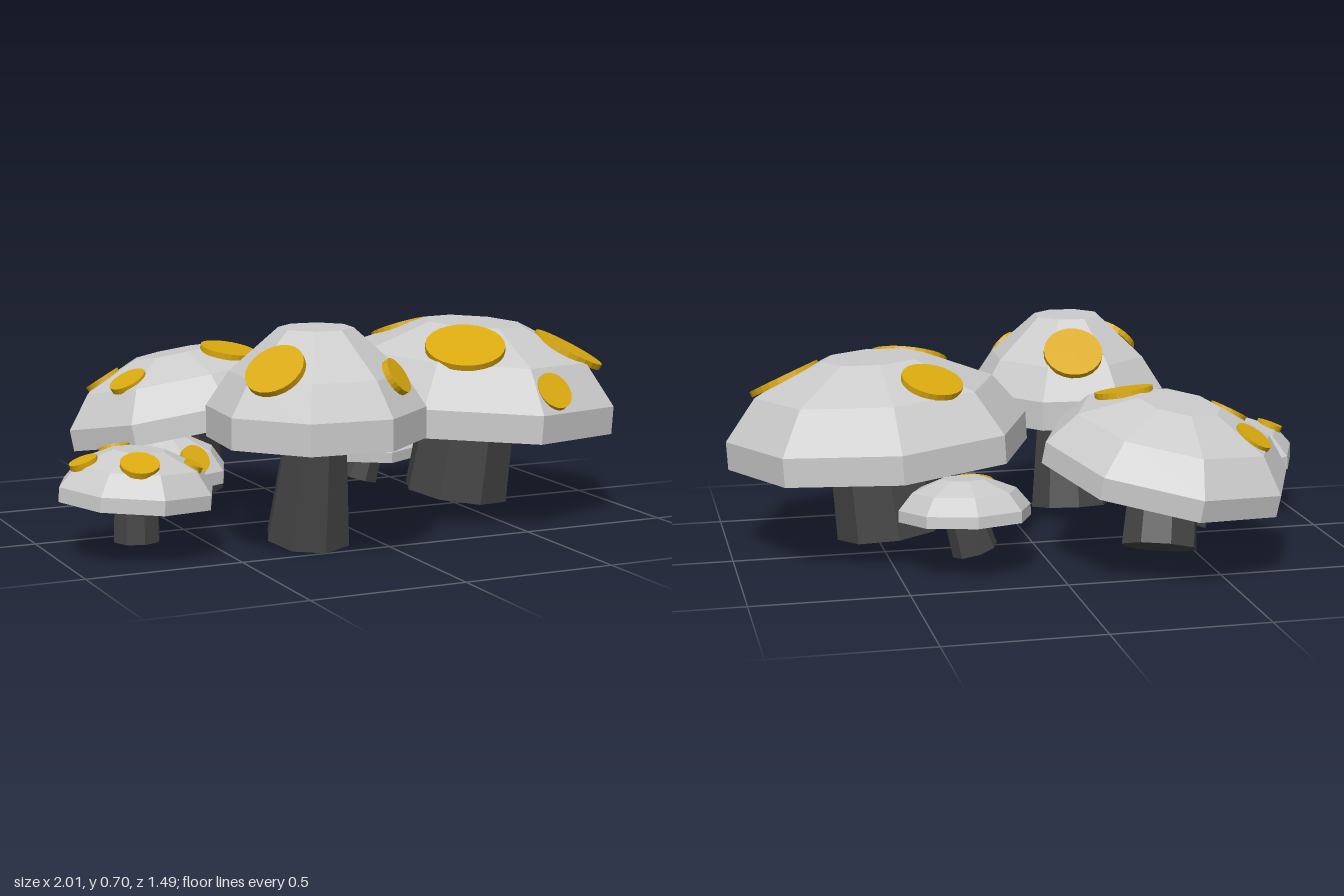
import * as THREE from 'three';

const SIDES = 8;
const UP = new THREE.Vector3(0, 1, 0);

const material = (color) => new THREE.MeshStandardMaterial({ color, flatShading: true });
const capMaterial = material(0xcccccc);
const stemMaterial = material(0x444444);
const spotMaterial = material(0xd9a80f);

// cap: centre of the underside; lean: sideways tilt of the cap axis; turn: part of a side
// foot: centre of the stem's base; stem: [top radius, base radius]; spots: [x, z, radius]
const MUSHROOMS = [
  { name: 'largeMushroom', cap: [0.5, 0.31, 0.08], radius: 0.5, height: 0.325, lean: [0.055, 0.03],
    foot: [0.47, 0.05, 0.06], stem: [0.165, 0.18],
    spots: [[0.36, 0.32, 0.13], [0.79, 0.25, 0.125], [0.365, -0.16, 0.1], [0.58, 0.51, 0.065]] },
  { name: 'tallMushroom', cap: [-0.22, 0.35, 0.425], radius: 0.342, height: 0.343, lean: [0, 0],
    turn: 0.4, shoulder: 0.6, foot: [-0.22, 0.02, 0.365], stem: [0.1, 0.138],
    spots: [[-0.19, 0.21, 0.1], [-0.41, 0.55, 0.095], [-0.035, 0.61, 0.06]] },
  { name: 'backMushroom', cap: [-0.36, 0.285, -0.32], radius: 0.41, height: 0.25, lean: [-0.16, -0.125],
    foot: [-0.325, 0.07, -0.4], stem: [0.11, 0.125],
    spots: [[-0.61, -0.47, 0.063], [-0.61, -0.21, 0.063], [-0.255, -0.21, 0.095]] },
  { name: 'sideMushroom', cap: [-0.755, 0.165, 0.265], radius: 0.25, height: 0.16, lean: [0.07, 0],
    foot: [-0.755, 0.04, 0.265], stem: [0.07, 0.075],
    spots: [[-0.78, 0.14, 0.05], [-0.92, 0.26, 0.045], [-0.79, 0.4, 0.06], [-0.6, 0.35, 0.03]] },
  { name: 'shelteredMushroom', cap: [-0.53, 0.15, -0.08], radius: 0.205, height: 0.145, lean: [0, 0],
    foot: [-0.5, 0.06, -0.1], stem: [0.07, 0.08],
    spots: [[-0.49, 0.08, 0.05]] },
  { name: 'smallMushroom', cap: [0.28, 0.165, -0.26], radius: 0.215, height: 0.13, lean: [0, 0.1],
    foot: [0.25, 0.06, -0.265], stem: [0.065, 0.075],
    spots: [[0.22, -0.12, 0.06]] },
];

// Dome outline as [radius, height]: vertical rim, shoulder, flat crown
const domeOutline = ({ radius, height, shoulder = 0.7 }) =>
  [[0, 0], [1, 0], [1, 0.285], [0.79, shoulder], [0.34, 1], [0, 1]]
    .map(([r, h]) => new THREE.Vector2(r * radius, h * height));

// Height and normal of the dome above a point in the cap's own frame
function domeAt(x, z, outline) {
  const reach = Math.min(Math.hypot(x, z) / 0.96, outline[2].x * 0.99);
  const i = reach > outline[3].x ? 2 : reach > outline[4].x ? 3 : 4;
  const slope = (outline[i + 1].y - outline[i].y) / (outline[i].x - outline[i + 1].x);
  const y = outline[i].y + slope * (outline[i].x - reach);
  const angle = Math.atan2(x, z);
  const normal = new THREE.Vector3(Math.sin(angle) * slope, 1, Math.cos(angle) * slope).normalize();
  return { y, normal };
}

// Faceted dome with its spots, tilted as one piece
function makeCap(spec) {
  const { cap, lean, turn = 0, spots } = spec;
  const group = new THREE.Group();
  group.name = 'cap';
  const outline = domeOutline(spec);
  const dome = new THREE.Mesh(
    new THREE.LatheGeometry(outline, SIDES, turn * Math.PI * 2 / SIDES), capMaterial);
  dome.name = 'dome';
  group.add(dome);

  spots.forEach(([sx, sz, r]) => {
    // the second look-up allows for the sideways shift of the tilted dome
    const rise = domeAt(sx - cap[0], sz - cap[2], outline).y;
    const x = sx - cap[0] - lean[0] * rise;
    const z = sz - cap[2] - lean[1] * rise;
    const { y, normal } = domeAt(x, z, outline);
    const spot = new THREE.Mesh(new THREE.CylinderGeometry(r, r, 0.02, 24), spotMaterial);
    spot.name = 'spot';
    spot.position.set(x, y, z);
    spot.quaternion.setFromUnitVectors(UP, normal);
    group.add(spot);
  });

  group.position.set(...cap);
  group.quaternion.setFromUnitVectors(UP, new THREE.Vector3(lean[0], 1, lean[1]).normalize());
  return group;
}

// Tapered stem leaning from its foot into the cap
function makeStem({ cap, foot, stem }) {
  const base = new THREE.Vector3(...foot);
  const axis = new THREE.Vector3(...cap).sub(base);
  const length = axis.length() + 0.02;
  const geometry = new THREE.CylinderGeometry(stem[0], stem[1], length, SIDES);
  geometry.translate(0, length / 2, 0);
  const mesh = new THREE.Mesh(geometry, stemMaterial);
  mesh.name = 'stem';
  mesh.position.copy(base);
  mesh.quaternion.setFromUnitVectors(UP, axis.normalize());
  return mesh;
}

export function createModel() {
  const model = new THREE.Group();
  model.name = 'mushroomCluster';
  for (const spec of MUSHROOMS) {
    const mushroom = new THREE.Group();
    mushroom.name = spec.name;
    mushroom.add(makeStem(spec), makeCap(spec));
    model.add(mushroom);
  }
  return model;
}
